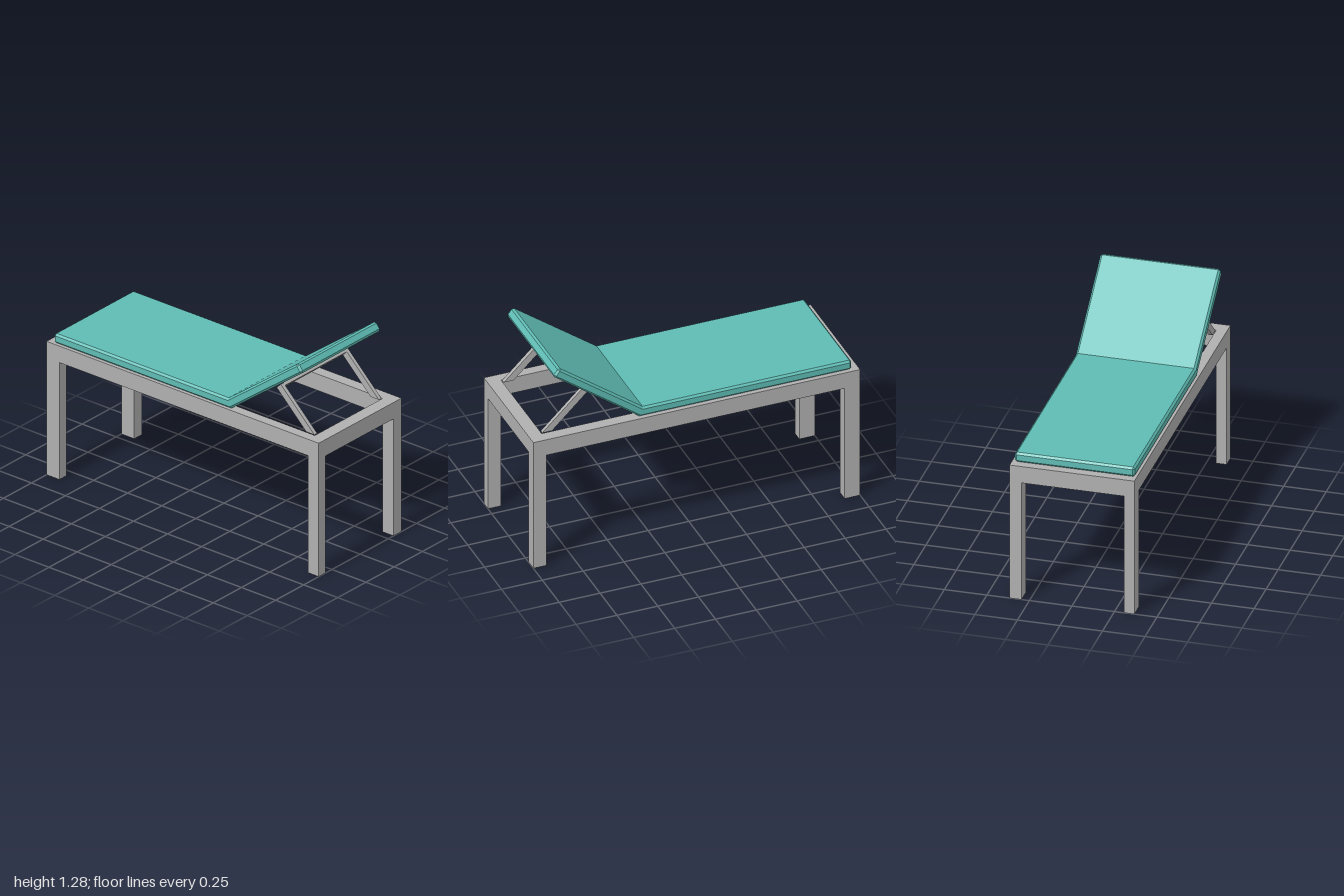
import * as THREE from 'three';

const frameGray = new THREE.MeshStandardMaterial({ color: 0xb0b0b0, side: THREE.DoubleSide });
frameGray.name = 'frameGray';
const cushionTeal = new THREE.MeshStandardMaterial({ color: 0x5fbcb4, flatShading: true });
cushionTeal.name = 'cushionTeal';

// Frame limits: outer and inner edges, rail heights
const X0 = -0.367, X1 = 0.367, IX0 = -0.305, IX1 = 0.296;
const Z0 = -1, Z1 = 1, IZ0 = -0.905, IZ1 = 0.92;
const RAIL_BOTTOM = 0.742, RAIL_TOP = 0.846;

function add(group, name, geometry, material) {
  const mesh = new THREE.Mesh(geometry, material);
  mesh.name = name;
  group.add(mesh);
  return mesh;
}

function rectangle(Type, x0, x1, y0, y1) {
  return new Type([[x0, y0], [x1, y0], [x1, y1], [x0, y1]].map(p => new THREE.Vector2(...p)));
}

// Rectangular ring of rails lying flat
function railGeometry() {
  const shape = rectangle(THREE.Shape, X0, X1, -Z1, -Z0);
  shape.holes.push(rectangle(THREE.Path, IX0, IX1, -IZ1, -IZ0));
  const g = new THREE.ExtrudeGeometry(shape, { depth: RAIL_TOP - RAIL_BOTTOM, bevelEnabled: false });
  return g.rotateX(-Math.PI / 2).translate(0, RAIL_BOTTOM, 0);
}

// Hollow square leg, open at the foot and under the rail
function legGeometry(x0, x1, z0, z1) {
  const g = new THREE.BoxGeometry(x1 - x0, RAIL_BOTTOM, z1 - z0);
  const index = Array.from(g.index.array);
  index.splice(12, 12);
  g.setIndex(index);
  g.clearGroups();
  return g.translate((x0 + x1) / 2, RAIL_BOTTOM / 2, (z0 + z1) / 2);
}

// Side profile of [z, y] points extruded across x
function sideExtrude(points, x0, x1) {
  const shape = new THREE.Shape(points.map(([z, y]) => new THREE.Vector2(-z, y)));
  const g = new THREE.ExtrudeGeometry(shape, { depth: x1 - x0, bevelEnabled: false });
  return g.rotateY(Math.PI / 2).translate(x0, 0, 0);
}

// Chamfered cushion lofted through octagonal sections along a bent centre line
function cushionGeometry() {
  const halfW = 0.353, halfH = 0.03, c = 0.012, cx = -0.003;
  const bend = Math.atan(0.75);
  const [dz, dy] = [Math.cos(bend), Math.sin(bend)];
  const length = 0.64, hinge = [0.33, 0.876];
  const stations = [
    { z: -0.957, y: hinge[1], tilt: 0, inset: c },
    { z: -0.957 + c, y: hinge[1], tilt: 0, inset: 0 },
    { z: hinge[0], y: hinge[1], tilt: bend / 2, inset: 0, stretch: 1 / Math.cos(bend / 2) },
    { z: hinge[0] + dz * length, y: hinge[1] + dy * length, tilt: bend, inset: 0 },
    { z: hinge[0] + dz * (length + c), y: hinge[1] + dy * (length + c), tilt: bend, inset: c },
  ];
  const rings = stations.map(({ z, y, tilt, inset, stretch = 1 }) => {
    const w = halfW - inset, h = halfH - inset, a = halfW - c, b = halfH - c;
    return [[w, -b], [w, b], [a, h], [-a, h], [-w, b], [-w, -b], [-a, -h], [a, -h]].map(([x, n]) =>
      new THREE.Vector3(cx + x, y + n * stretch * Math.cos(tilt), z - n * stretch * Math.sin(tilt)));
  });
  const pos = [];
  const tri = (p, q, r) => {
    const area = q.clone().sub(p).cross(r.clone().sub(p)).length();
    if (area > 1e-9) for (const v of [p, q, r]) pos.push(v.x, v.y, v.z);
  };
  for (let i = 0; i < rings.length - 1; i++) {
    for (let j = 0; j < 8; j++) {
      const k = (j + 1) % 8, r = rings[i], s = rings[i + 1];
      tri(r[j], r[k], s[k]);
      tri(r[j], s[k], s[j]);
    }
  }
  const first = rings[0], last = rings[rings.length - 1];
  for (let j = 1; j < 7; j++) {
    tri(first[0], first[j + 1], first[j]);
    tri(last[0], last[j], last[j + 1]);
  }
  const g = new THREE.BufferGeometry();
  g.setAttribute('position', new THREE.Float32BufferAttribute(pos, 3));
  g.computeVertexNormals();
  return g;
}

export function createModel() {
  const model = new THREE.Group();
  model.name = 'lounger';

  // Frame and four legs
  add(model, 'frameRails', railGeometry(), frameGray);
  for (const [sideName, x0, x1] of [['Right', X0, IX0], ['Left', IX1, X1]]) {
    add(model, 'frontLeg' + sideName, legGeometry(x0, x1, IZ1, Z1), frameGray);
    add(model, 'backLeg' + sideName, legGeometry(x0, x1, Z0, IZ0), frameGray);
  }

  // Prop holding up the backrest: two struts and a crossbar
  const prop = new THREE.Group();
  prop.name = 'backrestProp';
  model.add(prop);
  const strut = [[0.915, RAIL_TOP], [0.666, 1.087], [0.637, 1.057], [0.855, RAIL_TOP]];
  const bar = [[0.679, 1.0745], [0.666, 1.087], [0.637, 1.057], [0.65, 1.0445]];
  add(prop, 'strutRight', sideExtrude(strut, -0.302, -0.277), frameGray);
  add(prop, 'strutLeft', sideExtrude(strut, 0.269, 0.292), frameGray);
  add(prop, 'crossbar', sideExtrude(bar, -0.277, 0.269), frameGray);

  // One bent cushion: flat seat and raised backrest
  add(model, 'cushion', cushionGeometry(), cushionTeal);
  return model;
}
